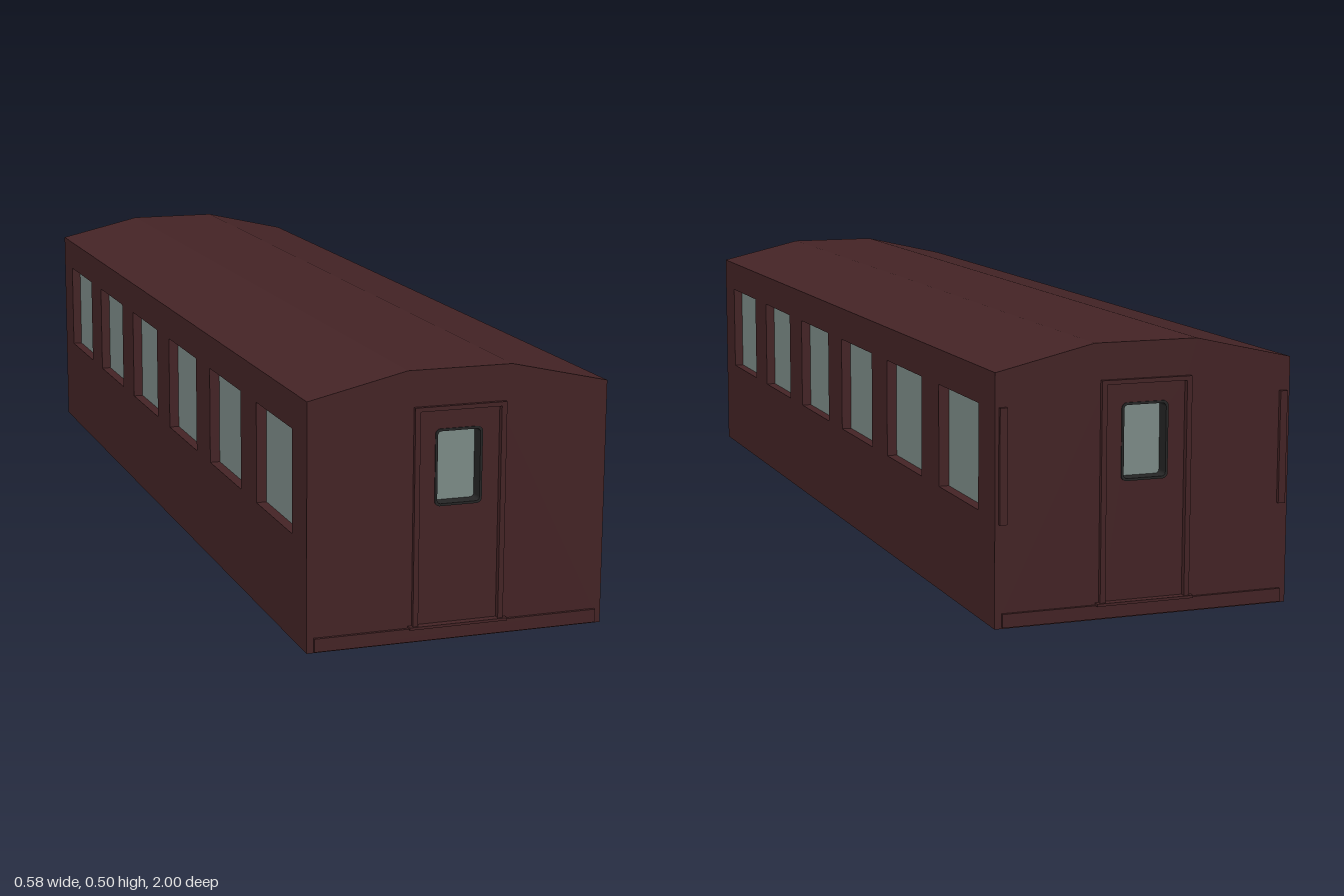
import * as THREE from 'three';

const W = 0.288, EAVE = 0.462, TOP = 0.505, END = 0.988, WALL = 0.02;

const paint = new THREE.MeshStandardMaterial({ color: 0x452426 });
paint.name = 'maroon paint';
const glass = new THREE.MeshStandardMaterial({ color: 0x7f8e8a });
glass.name = 'grey green glass';
const rubber = new THREE.MeshStandardMaterial({ color: 0x262626 });
rubber.name = 'dark rubber';

function add(parent, name, geometry, material, x = 0, y = 0, z = 0) {
  const mesh = new THREE.Mesh(geometry, material);
  mesh.name = name;
  mesh.position.set(x, y, z);
  parent.add(mesh);
  return mesh;
}

const box = (w, h, d) => new THREE.BoxGeometry(w, h, d);

const polygon = (pts) => new THREE.Shape(pts.map(([x, y]) => new THREE.Vector2(x, y)));

const rect = (x0, x1, y0, y1) => polygon([[x0, y0], [x1, y0], [x1, y1], [x0, y1]]);

function roundedRect(hw, y0, y1, r) {
  const s = new THREE.Shape();
  s.absarc(hw - r, y0 + r, r, -Math.PI / 2, 0);
  s.absarc(hw - r, y1 - r, r, 0, Math.PI / 2);
  s.absarc(-hw + r, y1 - r, r, Math.PI / 2, Math.PI);
  s.absarc(-hw + r, y0 + r, r, Math.PI, Math.PI * 1.5);
  s.closePath();
  return s;
}

// Plate of the given depth with optional openings
function plate(shape, holes, depth) {
  shape.holes.push(...holes);
  return new THREE.ExtrudeGeometry(shape, { depth, bevelEnabled: false, curveSegments: 5 });
}

// Long wall with six recessed windows, built facing +z
function makeSide(name) {
  const side = new THREE.Group();
  side.name = name;
  const len = END - WALL;
  const holes = [];
  for (let i = 0; i < 6; i++) {
    const c = (i - 2.5) * 0.318;
    holes.push(rect(c - 0.108, c + 0.108, 0.2, 0.395));
    add(side, 'sideWindow', box(0.23, 0.21, 0.004), glass, c, 0.2975, W - WALL - 0.002);
  }
  add(side, 'sideWall', plate(rect(-len, len, 0, EAVE), holes, WALL), paint, 0, 0, W - WALL);
  return side;
}

// End wall with door, frame, sill and beam, built facing +z
function makeEnd(name, withRails) {
  const end = new THREE.Group();
  end.name = name;
  const gable = polygon([[-W, 0], [W, 0], [W, EAVE], [0.1, TOP], [-0.1, TOP], [-W, EAVE]]);
  add(end, 'endWall', plate(gable, [rect(-0.078, 0.078, 0.03, 0.43)], WALL), paint, 0, 0, END - WALL);

  // Door set slightly back inside a raised frame
  add(end, 'doorFrame', plate(rect(-0.088, 0.088, 0.03, 0.438),
    [rect(-0.078, 0.078, 0.03 + 0.001, 0.43)], 0.02), paint, 0, 0, 0.976);
  add(end, 'door', plate(rect(-0.078, 0.078, 0.03, 0.43),
    [roundedRect(0.045, 0.252, 0.394, 0.01)], 0.025), paint, 0, 0, 0.96);
  add(end, 'doorWindowSeal', plate(roundedRect(0.0455, 0.2515, 0.3945, 0.01),
    [roundedRect(0.041, 0.256, 0.39, 0.007)], 0.03), rubber, 0, 0, 0.957);
  add(end, 'doorWindow', box(0.089, 0.141, 0.004), glass, 0, 0.323, 0.957);
  add(end, 'doorSill', box(0.19, 0.005, 0.03), paint, 0, 0.0295, 0.985);

  add(end, 'endBeam', box(0.55, 0.025, 0.012), paint, 0, 0.0155, END);

  if (withRails) {
    for (const s of [-1, 1]) {
      add(end, 'cornerRail', box(0.014, 0.21, 0.01), paint, s * 0.274, 0.295, END + 0.002);
    }
  }
  return end;
}

export function createModel() {
  const carriage = new THREE.Group();
  carriage.name = 'railwayCarriage';

  // Roof with three flat facets
  const roofLen = 2 * (END - WALL);
  const roof = polygon([[-W, EAVE], [W, EAVE], [0.1, TOP], [-0.1, TOP]]);
  add(carriage, 'roof', plate(roof, [], roofLen), paint, 0, 0, -roofLen / 2);

  add(carriage, 'floor', box(2 * (W - WALL), 0.02, roofLen), paint, 0, 0.01, 0);

  const left = makeSide('leftSide');
  left.rotation.y = Math.PI / 2;
  const right = makeSide('rightSide');
  right.rotation.y = -Math.PI / 2;

  const front = makeEnd('frontEnd', false);
  const back = makeEnd('backEnd', true);
  back.rotation.y = Math.PI;

  carriage.add(left, right, front, back);
  return carriage;
}
